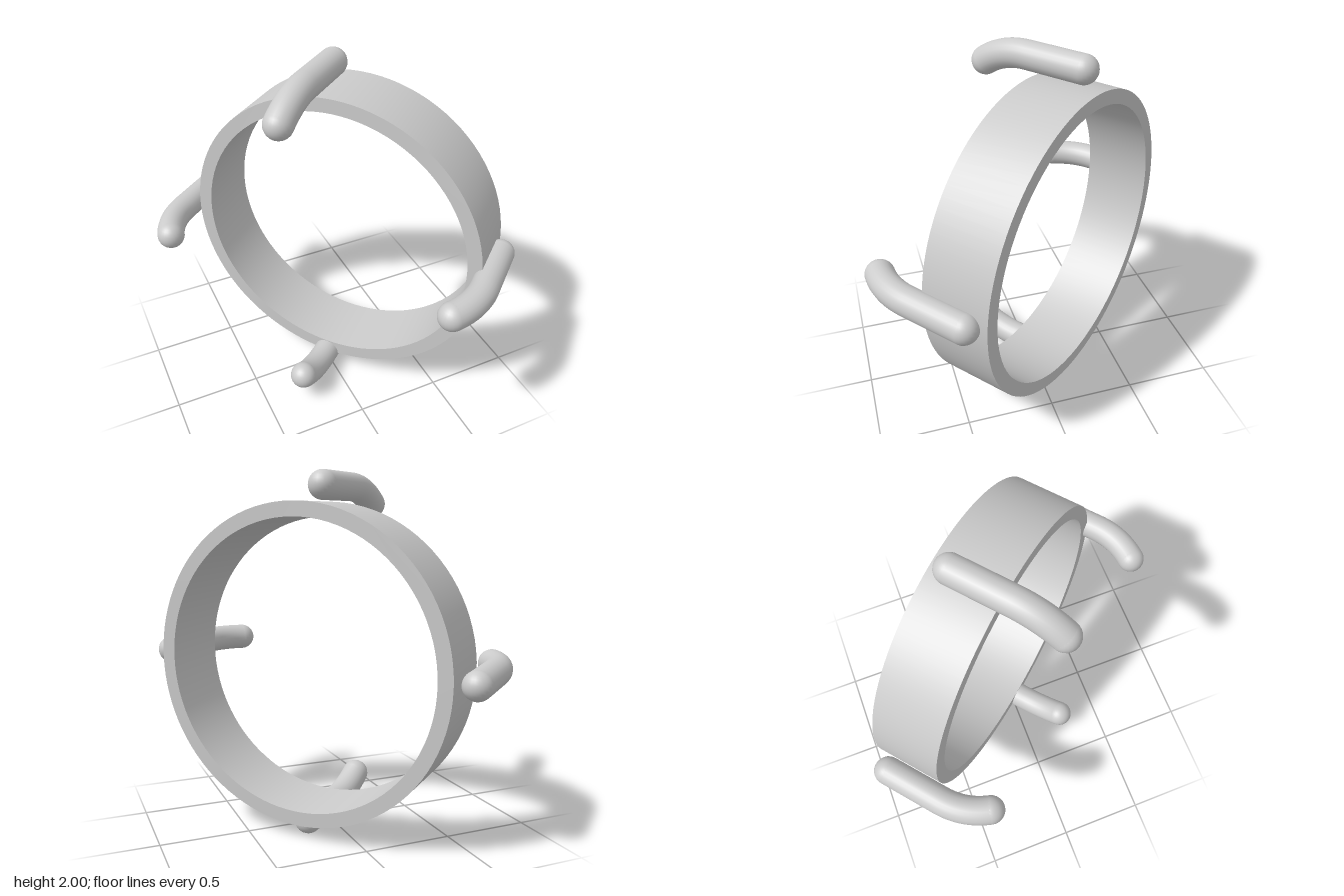
import * as THREE from 'three';
import { toCreasedNormals } from 'three/addons/utils/BufferGeometryUtils.js';

const V = (x, y, z) => new THREE.Vector3(x, y, z);
const material = new THREE.MeshStandardMaterial({ color: 0xcccccc });
const axis = V(-0.766, 0.025, 0.643).normalize();
const ROD = 0.078;

// Flat-walled band, extruded along its own axis and centred on it
function makeRing(outer, inner, width) {
  const shape = new THREE.Shape().absarc(0, 0, outer, 0, Math.PI * 2, false);
  shape.holes.push(new THREE.Path().absarc(0, 0, inner, 0, Math.PI * 2, true));
  const geo = new THREE.ExtrudeGeometry(shape, { depth: width, bevelEnabled: false, curveSegments: 48 });
  geo.translate(0, 0, -width / 2);
  const ring = new THREE.Mesh(toCreasedNormals(geo, 0.5), material);
  ring.name = 'ring';
  return ring;
}

// Round-ended rod: straight along the axis, then bending in to the tip
function makeProng(name, base, tip) {
  const along = (d) => base.clone().addScaledVector(axis, d);
  const path = new THREE.CurvePath();
  path.add(new THREE.LineCurve3(base, along(0.33)));
  path.add(new THREE.QuadraticBezierCurve3(along(0.33), along(0.48), tip));

  const prong = new THREE.Group();
  prong.name = name;
  const rod = new THREE.Mesh(new THREE.TubeGeometry(path, 40, ROD, 24, false), material);
  rod.name = name + 'Rod';
  prong.add(rod);
  for (const [label, p] of [['BaseCap', base], ['TipCap', tip]]) {
    const cap = new THREE.Mesh(new THREE.SphereGeometry(ROD, 24, 16), material);
    cap.name = name + label;
    cap.position.copy(p);
    prong.add(cap);
  }
  return prong;
}

export function createModel() {
  const model = new THREE.Group();
  model.name = 'prongedRing';

  const ring = makeRing(0.878, 0.798, 0.39);
  ring.quaternion.setFromUnitVectors(V(0, 0, 1), axis);
  ring.position.set(0.153, 0.967, -0.093);
  model.add(ring);

  // Four prongs around the band
  const prongs = [
    ['topProng', V(0.145, 1.922, -0.25), V(-0.32, 1.848, 0.135)],
    ['bottomProng', V(0.195, 0.085, -0.147), V(-0.27, 0.178, 0.237)],
    ['rightProng', V(-0.405, 0.945, -0.88), V(-0.805, 0.957, -0.43)],
    ['leftProng', V(0.8, 0.992, 0.55), V(0.28, 1.0, 0.87)],
  ];
  for (const p of prongs) model.add(makeProng(...p));
  return model;
}
